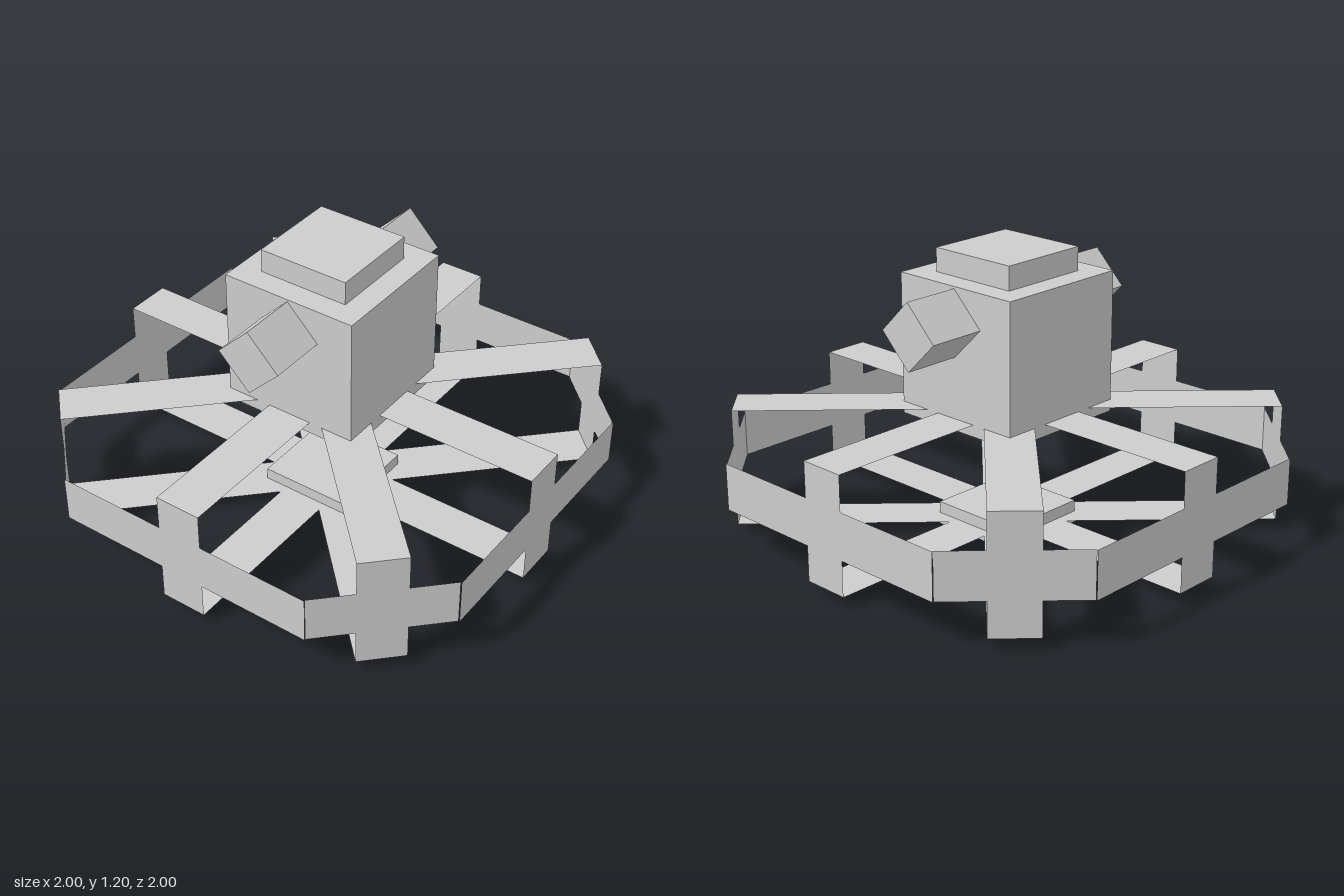
import * as THREE from 'three';

const grey = new THREE.MeshStandardMaterial({ color: 0xcccccc });
grey.name = 'plain grey';
const greySheet = new THREE.MeshStandardMaterial({ color: 0xcccccc, side: THREE.DoubleSide });
greySheet.name = 'plain grey sheet';

const MID = 0.3, BAND = 0.1, TAB = 0.25, HALF = 0.1; // rim centre height, half heights, half spoke width

function box(name, w, h, d, y) {
  const mesh = new THREE.Mesh(new THREE.BoxGeometry(w, h, d), grey);
  mesh.name = name;
  mesh.position.y = y;
  return mesh;
}

// Cross-shaped rim panel: a wide band with a tab above and below
function rimPanel(half) {
  const s = new THREE.Shape([
    [-half, -BAND], [-HALF, -BAND], [-HALF, -TAB], [HALF, -TAB], [HALF, -BAND], [half, -BAND],
    [half, BAND], [HALF, BAND], [HALF, TAB], [-HALF, TAB], [-HALF, BAND], [-half, BAND],
  ].map(([x, y]) => new THREE.Vector2(x, y)));
  return new THREE.ShapeGeometry(s);
}

export function createModel() {
  const model = new THREE.Group();
  model.name = 'station';

  // Central body, cap and base
  model.add(
    box('body', 0.6, 0.6, 0.6, 0.8),
    box('cap', 0.4, 0.1, 0.4, 1.15),
    box('base', 0.4, 0.1, 0.4, 0.05),
  );

  // Square bars turned on edge, front and back
  for (const side of [1, -1]) {
    const bar = box(side > 0 ? 'frontBar' : 'backBar', 0.2, 0.2, 0.25, 0.95);
    bar.position.z = side * 0.425;
    bar.rotation.z = Math.PI / 4;
    model.add(bar);
  }

  // Eight rim panels, each with an upper and a lower flat spoke
  for (let i = 0; i < 8; i++) {
    const diagonal = i % 2 === 1;
    const radius = diagonal ? 1.117 : 1;
    const arm = new THREE.Group();
    arm.name = 'arm';
    arm.rotation.y = i * Math.PI / 4;

    const panel = new THREE.Mesh(rimPanel(diagonal ? 0.29 : 0.587), greySheet);
    panel.name = 'rimPanel';
    panel.position.set(0, MID, radius);
    arm.add(panel);

    for (const level of [1, -1]) {
      const spoke = new THREE.Mesh(new THREE.PlaneGeometry(2 * HALF, radius), greySheet);
      spoke.name = level > 0 ? 'upperSpoke' : 'lowerSpoke';
      spoke.rotation.x = -Math.PI / 2;
      spoke.position.set(0, MID + level * TAB, radius / 2);
      arm.add(spoke);
    }
    model.add(arm);
  }
  return model;
}
